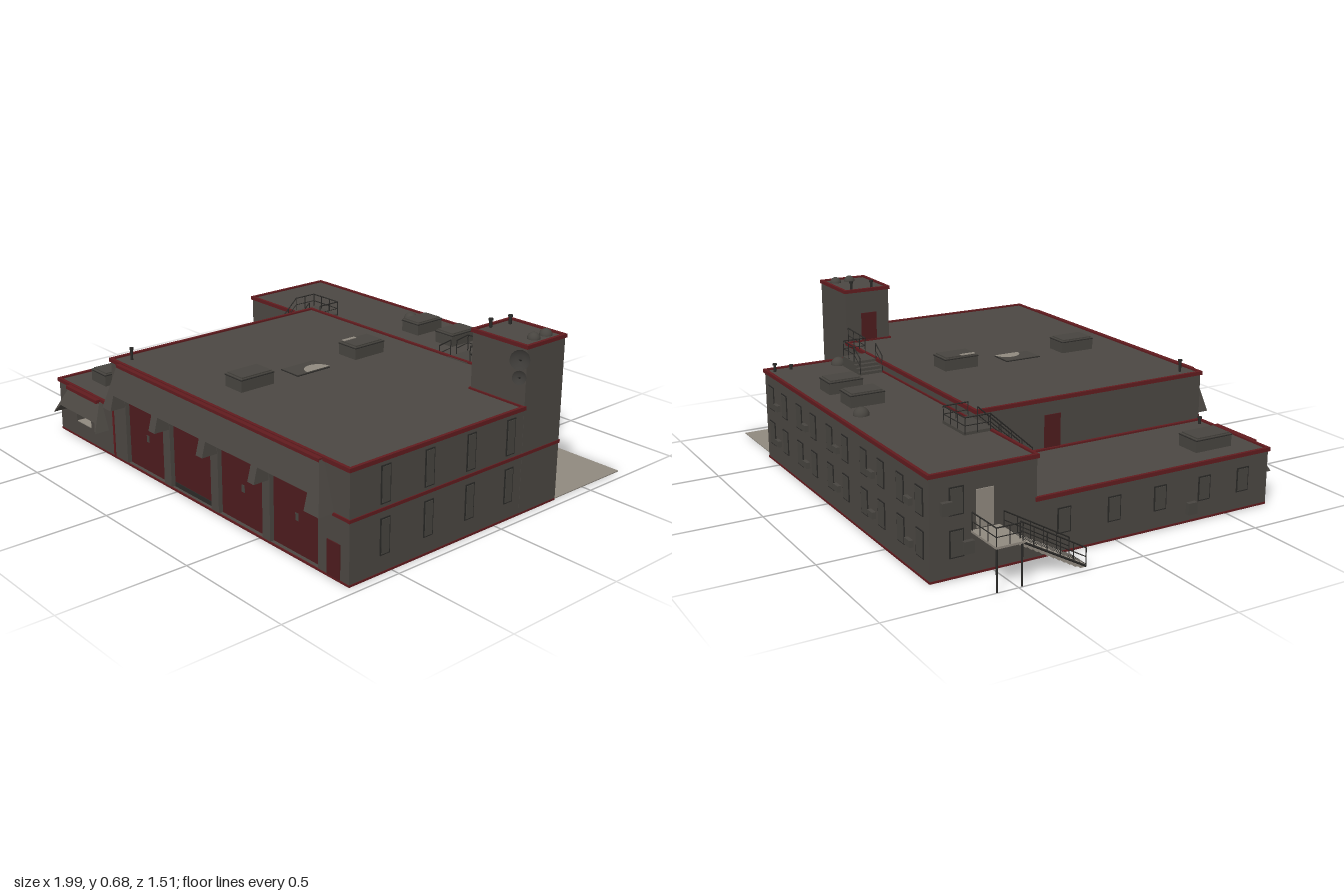
import * as THREE from 'three';

const mat = (name, color) => {
  const m = new THREE.MeshStandardMaterial({ color });
  m.name = name;
  return m;
};

export function createModel() {
  const root = new THREE.Group();
  root.name = 'garageBuilding';
  const wall = mat('wallGrey', 0x4c4843), red = mat('doorRed', 0x4e1c1e), edge = mat('trimRed', 0x621c1f);
  const dark = mat('darkMetal', 0x2b2a28), light = mat('paleConcrete', 0x918a80), metal = mat('unitGrey', 0x484540);

  const add = (name, geo, m) => {
    const mesh = new THREE.Mesh(geo, m);
    mesh.name = name;
    root.add(mesh);
    return mesh;
  };
  const box = (name, m, x0, x1, y0, y1, z0, z1) => {
    const mesh = add(name, new THREE.BoxGeometry(x1 - x0, y1 - y0, z1 - z0), m);
    mesh.position.set((x0 + x1) / 2, (y0 + y1) / 2, (z0 + z1) / 2);
    return mesh;
  };
  // Thin box standing out from a wall; u runs along the wall
  const plate = (name, m, face, at, u0, u1, y0, y1, out = 0.004) => {
    const a = face[0] === '+' ? at - 0.002 : at - out, b = face[0] === '+' ? at + out : at + 0.002;
    return face[1] === 'x' ? box(name, m, a, b, y0, y1, u0, u1) : box(name, m, u0, u1, y0, y1, a, b);
  };
  const rod = (name, a, b, r = 0.003, m = dark) => {
    const A = new THREE.Vector3(...a), d = new THREE.Vector3(...b).sub(A);
    const mesh = add(name, new THREE.CylinderGeometry(r, r, d.length(), 6), m);
    mesh.position.copy(A).addScaledVector(d, 0.5);
    mesh.quaternion.setFromUnitVectors(new THREE.Vector3(0, 1, 0), d.normalize());
    return mesh;
  };
  const win = (face, at, u, y0, y1, w) => {
    plate('windowFrame', dark, face, at, u - w / 2, u + w / 2, y0, y1, 0.003);
    plate('windowPane', metal, face, at, u - w / 2 + 0.005, u + w / 2 - 0.005, y0 + 0.005, y1 - 0.005, 0.005);
  };
  // Red edging that follows a roof outline of [x, z] corners
  const trim = (name, pts, y0, y1, closed = true) => {
    pts.forEach((p, i) => {
      if (!closed && i === pts.length - 1) return;
      const q = pts[(i + 1) % pts.length], t = 0.006;
      box(name, edge, Math.min(p[0], q[0]) - t, Math.max(p[0], q[0]) + t, y0, y1,
        Math.min(p[1], q[1]) - t, Math.max(p[1], q[1]) + t);
    });
  };
  // Handrail with posts along a path of floor points
  const rail = (pts, h = 0.065) => {
    const up = (p, k) => [p[0], p[1] + h * k, p[2]];
    for (let i = 0; i < pts.length - 1; i++) {
      const a = pts[i], b = pts[i + 1];
      rod('handrail', up(a, 1), up(b, 1), 0.0025);
      rod('midRail', up(a, 0.5), up(b, 0.5), 0.0018);
      const n = Math.max(1, Math.round(Math.hypot(a[0] - b[0], a[1] - b[1], a[2] - b[2]) / 0.055));
      for (let k = 0; k <= n; k++) {
        const p = a.map((v, j) => v + (b[j] - v) * k / n);
        rod('railPost', p, up(p, 1), 0.002);
      }
    }
  };
  const vecs = (pts) => pts.map((p) => new THREE.Vector2(...p));
  const rect = (x0, x1, y0, y1) => vecs([[x0, y0], [x1, y0], [x1, y1], [x0, y1]]);
  // Wall panel in the xy plane with rectangular openings
  const pierced = (name, outer, holes, z0, z1) => {
    const s = new THREE.Shape(rect(...outer));
    holes.forEach((h) => s.holes.push(new THREE.Path(rect(...h).reverse())));
    add(name, new THREE.ExtrudeGeometry(s, { depth: z1 - z0, bevelEnabled: false }), wall).position.z = z0;
  };

  // Concrete slab under the building and the open yard corner
  box('floorSlab', light, -0.835, 0.965, 0, 0.004, -0.33, 0.69);
  box('floorSlab', light, -0.835, 0.615, 0, 0.004, -0.74, -0.33);
  box('yardSlab', light, 0.615, 0.96, 0, 0.004, -0.72, -0.33);

  // Main volumes
  box('mainHall', wall, -0.42, 0.965, 0.002, 0.415, -0.33, 0.665);
  box('sideWing', wall, -0.835, -0.42, 0.002, 0.22, -0.33, 0.54);
  box('rearBlock', wall, -0.835, 0.615, 0.002, 0.375, -0.74, -0.33);
  box('tower', wall, 0.71, 0.966, 0.002, 0.64, -0.331, -0.13);

  // Front walls with recessed vehicle doors and the wing entrance
  const doors = [-0.207, 0.092, 0.39, 0.685];
  pierced('hallFrontWall', [-0.42, 0.965, 0.002, 0.415], doors.map((x) => [x - 0.127, x + 0.127, 0.008, 0.295]), 0.665, 0.69);
  pierced('wingFrontWall', [-0.835, -0.42, 0.002, 0.22], [[-0.71, -0.6, 0.07, 0.145]], 0.54, 0.69);
  box('entranceFloor', light, -0.71, -0.6, 0.068, 0.073, 0.54, 0.688);
  doors.forEach((x, i) => {
    box('vehicleDoor', red, x - 0.127, x + 0.127, 0.008, 0.295, 0.664, 0.672);
    if (i !== 1) box('doorWear', metal, x - 0.01, x + 0.006, 0.13, 0.158, 0.671, 0.6735);
  });
  box('doorGap', dark, -0.032, 0.215, 0.008, 0.026, 0.67, 0.675);
  box('doorScrape', metal, 0.01, 0.13, 0.262, 0.28, 0.67, 0.674);
  plate('frontDoor', red, '+z', 0.69, 0.858, 0.922, 0.01, 0.138);

  // Sloping canopies: flat outline whose front face leans outward toward the bottom
  const canopy = (name, pts, y1, y0, zTop, zLow) => {
    const g = new THREE.ExtrudeGeometry(new THREE.Shape(vecs(pts)), { depth: 1, bevelEnabled: false });
    const p = g.attributes.position;
    for (let i = 0; i < p.count; i++) {
      p.setZ(i, p.getZ(i) < 0.5 ? 0.689 : zTop + (zLow - zTop) * (y1 - p.getY(i)) / (y1 - y0));
    }
    g.computeVertexNormals();
    add(name, g, wall);
  };
  const lower = [[-0.395, 0.24]];
  doors.forEach((x) => lower.push([x - 0.13, 0.24], [x - 0.13, 0.3], [x + 0.13, 0.3], [x + 0.13, 0.24]));
  canopy('hallCanopy', [...lower, [0.89, 0.24], [0.84, 0.412], [-0.35, 0.412]], 0.412, 0.24, 0.71, 0.755);
  canopy('wingCanopy', [[-0.785, 0.105], [-0.755, 0.14], [-0.495, 0.14], [-0.465, 0.105], [-0.51, 0.215], [-0.74, 0.215]],
    0.215, 0.105, 0.70, 0.755);
  box('canopyTrim', edge, -0.35, 0.84, 0.406, 0.418, 0.69, 0.713);
  box('canopyTrim', edge, -0.74, -0.51, 0.21, 0.224, 0.69, 0.716);

  // Roof edging, belt course and base line
  trim('hallRoofTrim', [[-0.42, 0.69], [0.965, 0.69], [0.965, -0.13], [0.71, -0.13], [0.71, -0.33], [-0.42, -0.33]], 0.407, 0.422);
  trim('wingRoofTrim', [[-0.426, -0.33], [-0.426, 0.69], [-0.835, 0.69], [-0.835, -0.33]], 0.212, 0.227, false);
  trim('rearRoofTrim', [[-0.835, -0.33], [-0.835, -0.74], [0.615, -0.74], [0.615, -0.33]], 0.367, 0.382);
  trim('towerRoofTrim', [[0.71, -0.13], [0.965, -0.13], [0.965, -0.33], [0.71, -0.33]], 0.633, 0.647);
  plate('beltCourse', edge, '+x', 0.965, -0.33, 0.694, 0.23, 0.242);
  plate('beltCourse', edge, '+z', 0.69, 0.885, 0.969, 0.23, 0.242);
  plate('beltCourse', edge, '+z', 0.69, -0.42, -0.395, 0.23, 0.242);
  plate('beltCourse', edge, '-z', -0.331, 0.615, 0.969, 0.23, 0.242);
  plate('cornerStrip', edge, '+z', 0.69, -0.428, -0.419, 0.01, 0.22);
  plate('baseLine', edge, '+x', 0.965, -0.33, 0.69, 0.001, 0.009, 0.002);
  plate('baseLine', edge, '+x', 0.615, -0.74, -0.33, 0.001, 0.009, 0.002);
  plate('baseLine', edge, '-x', -0.835, -0.74, 0.69, 0.001, 0.009, 0.002);
  plate('baseLine', edge, '-z', -0.74, -0.835, 0.615, 0.001, 0.009, 0.002);
  plate('baseLine', edge, '+z', 0.69, -0.835, 0.965, 0.001, 0.009, 0.002);

  // Windows with wall-mounted cooling boxes
  for (const z of [0.535, 0.335, 0.135, -0.065]) {
    win('+x', 0.965, z, 0.255, 0.392, 0.044);
    win('+x', 0.965, z, 0.07, 0.205, 0.044);
  }
  for (const x of [-0.7, -0.41, -0.11, 0.185, 0.48]) {
    for (const y of [0.075, 0.225]) {
      for (const s of [-0.07, 0.07]) win('-z', -0.74, x + s, y, y + 0.1, 0.055);
      plate('coolingBox', metal, '-z', -0.74, x - 0.02, x + 0.02, y + 0.015, y + 0.04, 0.015);
    }
  }
  for (const z of [-0.22, -0.01, 0.19, 0.39, 0.57]) win('-x', -0.835, z, 0.075, 0.17, 0.055);
  for (const y of [0.075, 0.225]) win('-x', -0.835, -0.64, y, y + 0.1, 0.055);
  for (const [z, y] of [[-0.68, 0.25], [-0.6, 0.1], [0.33, 0.05]]) {
    plate('coolingBox', metal, '-x', -0.835, z - 0.02, z + 0.02, y - 0.015, y + 0.03, 0.018);
  }

  // Side doors
  plate('rearBlockDoor', red, '+x', 0.615, -0.562, -0.49, 0.01, 0.145);
  plate('towerRearDoor', red, '-z', -0.331, 0.73, 0.81, 0.01, 0.145);
  plate('towerRoofDoor', red, '-x', 0.71, -0.26, -0.19, 0.42, 0.54);
  plate('hallSideDoor', red, '-x', -0.42, -0.04, 0.03, 0.225, 0.355);
  plate('landingDoor', light, '-x', -0.835, -0.565, -0.5, 0.165, 0.3);

  // Service boxes and conduit on the rear block
  for (const [z0, z1, y0, y1] of [[-0.46, -0.405, 0.07, 0.16], [-0.49, -0.445, 0.29, 0.345], [-0.62, -0.578, 0.155, 0.205], [-0.62, -0.578, 0.072, 0.122]]) {
    plate('serviceBox', metal, '+x', 0.615, z0, z1, y0, y1, 0.016);
  }
  rod('conduit', [0.618, 0.01, -0.462], [0.618, 0.3, -0.462], 0.003, metal);
  rod('conduit', [0.618, 0.165, -0.462], [0.618, 0.165, -0.58], 0.003, metal);

  // Roof units, skylight, domes and vent pipes
  const unit = (x, z, y, dx, dz) => {
    box('roofUnitBody', metal, x - dx, x + dx, y, y + 0.05, z - dz, z + dz);
    box('roofUnitSeam', dark, x - dx - 0.002, x + dx + 0.002, y + 0.044, y + 0.047, z - dz - 0.002, z + dz + 0.002);
    box('roofUnitLid', metal, x - dx * 0.9, x + dx * 0.9, y + 0.05, y + 0.055, z - dz * 0.9, z + dz * 0.9);
  };
  unit(0.153, -0.1, 0.415, 0.048, 0.075);
  unit(0.153, 0.455, 0.415, 0.048, 0.075);
  unit(-0.685, 0.51, 0.22, 0.052, 0.083);
  unit(0.008, -0.58, 0.375, 0.047, 0.07);
  unit(0.205, -0.58, 0.375, 0.047, 0.07);
  box('unitPanel', light, 0.108, 0.124, 0.469, 0.472, -0.1, -0.035);
  box('skylightFrame', dark, 0.103, 0.203, 0.41, 0.418, 0.108, 0.267);
  box('skylight', metal, 0.106, 0.2, 0.41, 0.42, 0.111, 0.264);
  const patch = add('skylightPatch', new THREE.CircleGeometry(0.055, 16, Math.PI / 2, Math.PI), light);
  patch.rotation.x = -Math.PI / 2;
  patch.position.set(0.199, 0.4215, 0.162);
  for (const [x, y, z, r] of [[-0.13, 0.375, -0.65, 0.031], [0.555, 0.375, -0.44, 0.031], [0.915, 0.64, -0.285, 0.024], [0.915, 0.64, -0.22, 0.024]]) {
    add('roofVentDome', new THREE.SphereGeometry(r, 16, 6, 0, Math.PI * 2, 0, Math.PI / 2), metal).position.set(x, y, z);
  }
  for (const [x, y, z, h] of [[-0.365, 0.415, 0.63, 0.05], [-0.465, 0.22, 0.66, 0.03], [0.58, 0.375, -0.71, 0.035], [0.58, 0.375, -0.64, 0.02], [0.73, 0.64, -0.2, 0.035], [0.748, 0.64, -0.285, 0.035]]) {
    rod('ventPipe', [x, y, z], [x, y + h, z], 0.006);
    rod('ventCap', [x, y + h - 0.008, z], [x, y + h, z], 0.009);
  }

  // Tower dishes
  const dishProfile = vecs([[0, 0], [0.5, 0.1], [0.85, 0.28], [1, 0.42]]);
  const dishMat = mat('dishGrey', 0x3b3936);
  dishMat.side = THREE.DoubleSide;
  for (const [y, r] of [[0.595, 0.036], [0.53, 0.025]]) {
    const dish = add('dish', new THREE.LatheGeometry(dishProfile, 20), dishMat);
    dish.scale.setScalar(r);
    dish.position.set(0.955, y, -0.108);
    dish.quaternion.setFromUnitVectors(new THREE.Vector3(0, 1, 0), new THREE.Vector3(0.5, 0.3, 0.8).normalize());
    rod('dishArm', [0.945, y - 0.01, -0.13], [0.957, y, -0.107], 0.004);
    rod('dishFeed', [0.955, y, -0.108], [0.97, y + 0.01, -0.085], 0.003);
  }

  // Outside stair with closed risers and a landing on the left end
  box('landing', light, -1, -0.835, 0.152, 0.16, -0.585, -0.475);
  for (let i = 0; i < 12; i++) {
    const y = 0.148 - i * 0.0125, z = -0.48 + i * 0.0217;
    box('outsideStep', light, -0.972, -0.872, Math.max(0, y - 0.014), y, z, z + 0.0217);
    box('stepNosing', dark, -0.972, -0.872, y - 0.002, y + 0.0005, z + 0.02, z + 0.0225);
  }
  for (const x of [-0.974, -0.87]) {
    rod('stairStringer', [x, 0.15, -0.48], [x, 0.004, -0.22], 0.004);
    rail([[x, 0.155, -0.48], [x, 0.005, -0.22]]);
  }
  for (const z of [-0.58, -0.485]) rod('landingLeg', [-0.995, 0, z], [-0.995, 0.155, z], 0.004);
  rail([[-0.84, 0.16, -0.583], [-0.997, 0.16, -0.583], [-0.997, 0.16, -0.483]]);

  // Roof stair from the side wing up to the rear block
  for (let i = 0; i < 9; i++) {
    const y = 0.24 + i * 0.0175, z = -0.165 - i * 0.0195;
    box('roofStep', dark, -0.53, -0.44, y - 0.005, y, z - 0.016, z);
  }
  for (const x of [-0.53, -0.44]) {
    rod('stairStringer', [x, 0.222, -0.16], [x, 0.382, -0.335], 0.004);
    rail([[x, 0.222, -0.16], [x, 0.38, -0.335]], 0.06);
  }
  box('roofPlatform', metal, -0.53, -0.37, 0.375, 0.386, -0.44, -0.325);
  rail([[-0.53, 0.38, -0.335], [-0.53, 0.38, -0.437], [-0.37, 0.38, -0.437], [-0.37, 0.38, -0.335]], 0.06);

  // Platform and steps from the rear block up to the hall roof
  box('roofPlatform', metal, 0.41, 0.515, 0.375, 0.418, -0.435, -0.32);
  for (let i = 0; i < 3; i++) box('roofStep', metal, 0.35 + i * 0.02, 0.41, 0.375, 0.386 + i * 0.011, -0.435, -0.335);
  rail([[0.35, 0.38, -0.433], [0.41, 0.418, -0.433], [0.513, 0.418, -0.433], [0.513, 0.418, -0.335], [0.705, 0.418, -0.325]]);
  rail([[0.35, 0.38, -0.335], [0.41, 0.418, -0.335]]);
  return root;
}
